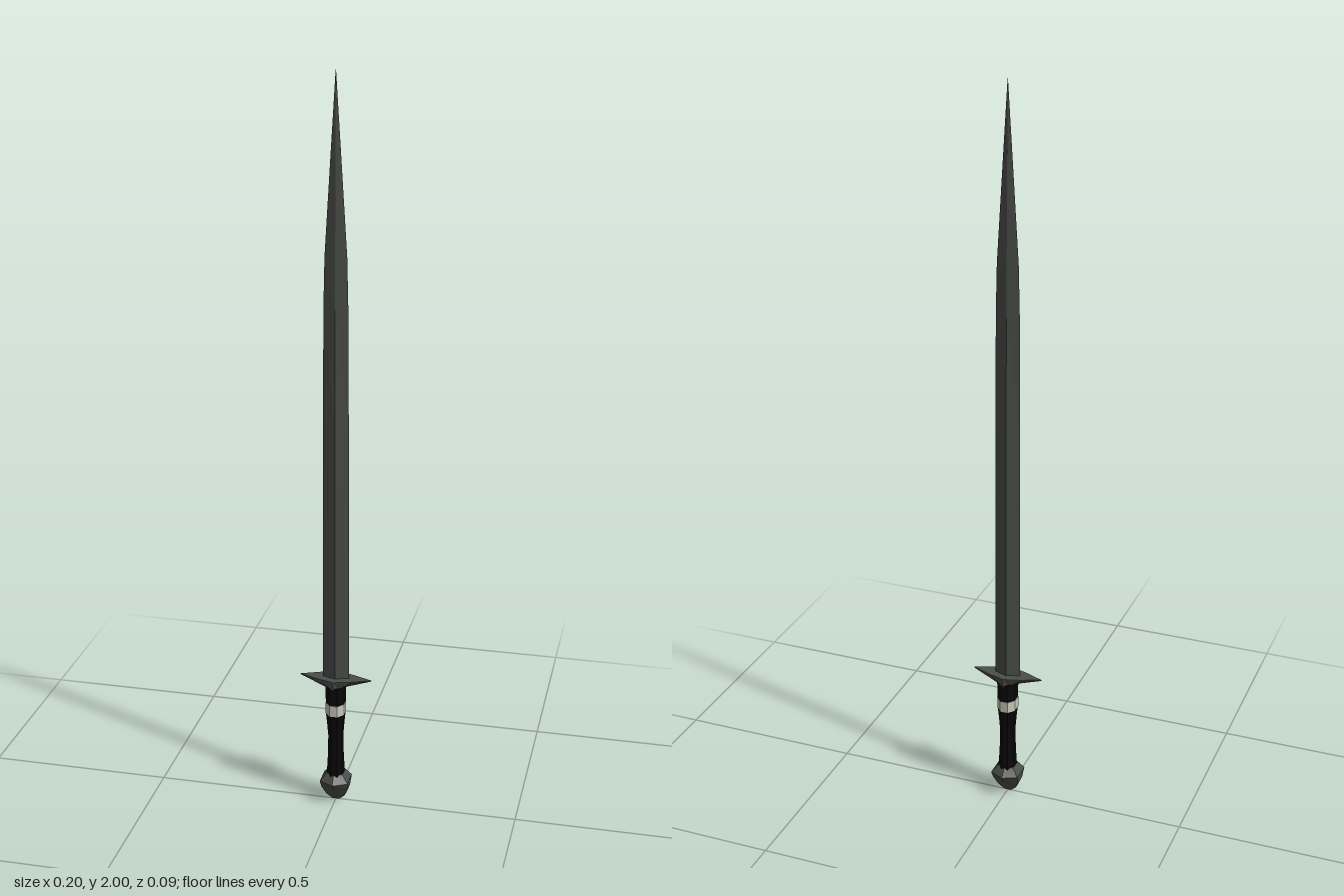
import * as THREE from 'three';

// Skins stacked cross-sections. Each ring is { y, pts: [[x, z], ...] }, with equal point counts.
function loft(name, rings, color) {
  const n = rings[0].pts.length;
  const pos = [];
  const idx = [];
  for (const { y, pts } of rings) for (const [x, z] of pts) pos.push(x, y, z);
  for (let r = 0; r < rings.length - 1; r++) {
    for (let i = 0; i < n; i++) {
      const a = r * n + i, b = r * n + (i + 1) % n;
      idx.push(a, b, a + n, b, b + n, a + n);
    }
  }
  // Caps at both ends
  const top = (rings.length - 1) * n;
  for (let i = 1; i < n - 1; i++) {
    idx.push(0, i + 1, i);
    idx.push(top, top + i, top + i + 1);
  }
  const indexed = new THREE.BufferGeometry();
  indexed.setAttribute('position', new THREE.Float32BufferAttribute(pos, 3));
  indexed.setIndex(idx);
  const geo = indexed.toNonIndexed();
  geo.computeVertexNormals();
  const mesh = new THREE.Mesh(geo, new THREE.MeshStandardMaterial({ color, flatShading: true }));
  mesh.name = name;
  return mesh;
}

// Section outlines, running counter-clockwise seen from above
const diamond = (y, w, d) => ({ y, pts: [[w, 0], [0, -d], [-w, 0], [0, d]] });
const bowedDiamond = (y, w, d) => {
  const mx = w * 0.45, mz = d * 0.63;
  return { y, pts: [[w, 0], [mx, -mz], [0, -d], [-mx, -mz], [-w, 0], [-mx, mz], [0, d], [mx, mz]] };
};
const hexagon = (y, w, d, ridge) => ({
  y, pts: [[w, d], [w, -d], [0, -ridge], [-w, -d], [-w, d], [0, ridge]],
});
const oval = (y, w, d) => ({
  y,
  pts: Array.from({ length: 8 }, (_, i) => {
    const a = (i + 0.5) * Math.PI / 4, k = 1 / Math.cos(Math.PI / 8);
    return [Math.cos(a) * w * k, -Math.sin(a) * d * k];
  }),
});

export function createModel() {
  const steel = 0x4a4d4a, black = 0x080808, silver = 0xc8c6b8;
  const sword = new THREE.Group();
  sword.name = 'sword';

  // Long ridged blade, narrowing to a needle tip
  sword.add(loft('blade', [
    diamond(0.36, 0.036, 0.013),
    diamond(1.1, 0.034, 0.0125),
    diamond(1.41, 0.032, 0.0094),
    diamond(1.54, 0.029, 0.0076),
    diamond(1.8, 0.013, 0.0039),
    diamond(2, 0.0005, 0.0005),
  ], steel));

  // Diamond guard: flat on top, sloping down to the grip
  sword.add(loft('guard', [
    bowedDiamond(0.35, 0.03, 0.034),
    bowedDiamond(0.373, 0.097, 0.035),
    bowedDiamond(0.376, 0.098, 0.035),
  ], steel));

  // Collar, silver band and waisted grip
  sword.add(loft('collar', [oval(0.3, 0.025, 0.03), oval(0.355, 0.026, 0.032)], black));
  sword.add(loft('band', [oval(0.27, 0.026, 0.031), oval(0.302, 0.026, 0.031)], silver));
  sword.add(loft('grip', [
    oval(0.08, 0.023, 0.028),
    oval(0.14, 0.02, 0.025),
    oval(0.2, 0.019, 0.023),
    oval(0.24, 0.022, 0.026),
    oval(0.272, 0.025, 0.03),
  ], black));

  // Faceted pommel, tapering to a short bottom edge
  sword.add(loft('pommel', [
    hexagon(0, 0.01, 0.0005, 0.001),
    hexagon(0.015, 0.026, 0.005, 0.011),
    hexagon(0.04, 0.037, 0.015, 0.028),
    hexagon(0.065, 0.039, 0.028, 0.047),
    hexagon(0.087, 0.022, 0.018, 0.028),
  ], steel));

  return sword;
}
